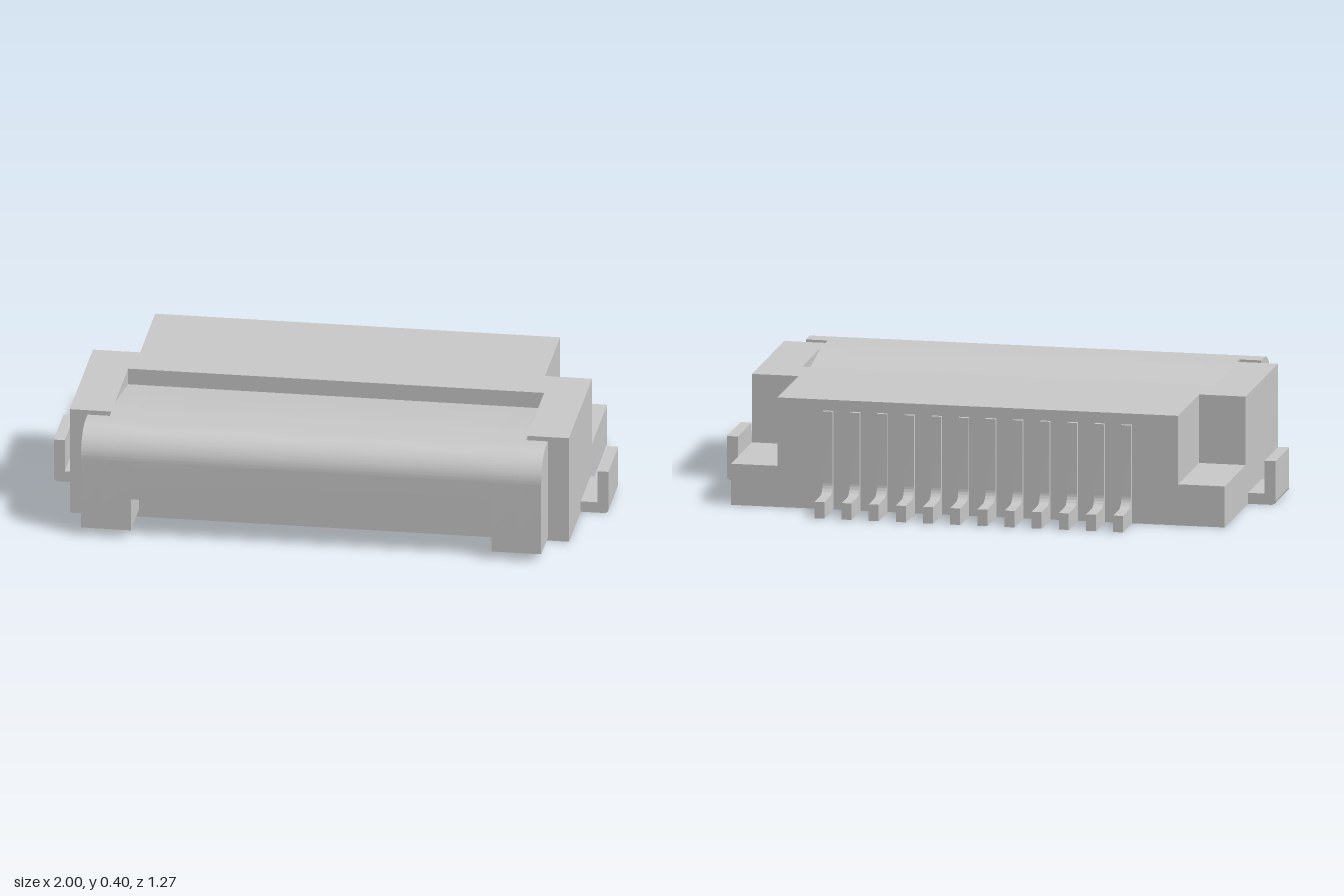
import * as THREE from 'three';
import { toCreasedNormals } from 'three/addons/utils/BufferGeometryUtils.js';

const material = new THREE.MeshStandardMaterial({ color: 0xcccccc });

// Extrudes a side profile drawn in (z, y) across the width from x0 to x1.
function slab(name, shape, x0, x1) {
  const geo = new THREE.ExtrudeGeometry(shape, { depth: x1 - x0, bevelEnabled: false, curveSegments: 14 });
  geo.rotateY(-Math.PI / 2).translate(x1, 0, 0);
  const mesh = new THREE.Mesh(toCreasedNormals(geo, 0.5), material);
  mesh.name = name;
  return mesh;
}

const polygon = (points) => new THREE.Shape(points.map(([a, b]) => new THREE.Vector2(a, b)));

// Side profile of the housing, with optional cable slot, top recess and rear corner notch.
function housingProfile({ slot, recess, notch }) {
  const p = [[-0.48, 0], [0.435, 0]];
  if (slot) p.push([0.435, 0.12], [-0.1, 0.12], [-0.1, 0.15], [0.435, 0.15]);
  p.push([0.435, 0.4]);
  if (recess) p.push([0.35, 0.4], [0.035, 0.34], [0.035, 0.4]);
  if (notch) p.push([-0.12, 0.4], [-0.12, 0.15], [-0.48, 0.15]);
  else p.push([-0.48, 0.4]);
  return polygon(p);
}

// Side profile of the latch with its rounded upper front edge.
function latchProfile(back, bottom) {
  const s = new THREE.Shape();
  s.moveTo(back, bottom);
  s.lineTo(0.635, bottom);
  s.lineTo(0.635, 0.295);
  s.absarc(0.53, 0.295, 0.105, 0, Math.PI / 2, false);
  s.lineTo(back, 0.4);
  s.closePath();
  return s;
}

// L-shaped contact: upright against the rear wall, fillet, then the solder foot.
function pinProfile() {
  const s = new THREE.Shape();
  s.moveTo(-0.635, 0);
  s.lineTo(-0.475, 0);
  s.lineTo(-0.475, 0.36);
  s.lineTo(-0.495, 0.36);
  s.lineTo(-0.495, 0.1);
  s.absarc(-0.535, 0.1, 0.04, 0, -Math.PI / 2, true);
  s.lineTo(-0.635, 0.06);
  s.closePath();
  return s;
}

// Mounting tab seen from the front, with a small outer bend radius.
function mountingTab() {
  const s = new THREE.Shape();
  s.moveTo(0.9, 0);
  s.lineTo(0.985, 0);
  s.absarc(0.985, 0.015, 0.015, -Math.PI / 2, 0, false);
  s.lineTo(1, 0.16);
  s.lineTo(0.96, 0.16);
  s.lineTo(0.96, 0.04);
  s.lineTo(0.9, 0.04);
  s.closePath();
  const geo = new THREE.ExtrudeGeometry(s, { depth: 0.235, bevelEnabled: false, curveSegments: 8 });
  geo.translate(0, 0, -0.08);
  return toCreasedNormals(geo, 0.5);
}

export function createModel() {
  const model = new THREE.Group();

  // Housing and latch middles
  const housing = new THREE.Group();
  housing.name = 'housing';
  housing.add(slab('housingMiddle', housingProfile({ slot: true, recess: true }), -0.65, 0.65));
  const latch = new THREE.Group();
  latch.name = 'latch';
  latch.add(slab('latchBar', latchProfile(0.435, 0.15), -0.65, 0.65));

  // Mirrored side sections
  const bothSides = (group, name, shape, a, b) => {
    group.add(slab(name + 'Left', shape, a, b), slab(name + 'Right', shape, -b, -a));
  };
  bothSides(housing, 'slotCheek', housingProfile({ recess: true }), 0.65, 0.73);
  bothSides(housing, 'recessEnd', housingProfile({ recess: true, notch: true }), 0.73, 0.75);
  bothSides(housing, 'housingEnd', housingProfile({ notch: true }), 0.75, 0.9);
  bothSides(latch, 'latchLeg', latchProfile(0.435, 0.03), 0.65, 0.75);
  bothSides(latch, 'latchTip', latchProfile(0.475, 0.03), 0.75, 0.83);

  // Row of twelve contacts
  const pins = new THREE.Group();
  pins.name = 'pins';
  const pin = pinProfile();
  for (let i = 0; i < 12; i++) {
    const x = (i - 5.5) * 0.099;
    pins.add(slab('pin' + (i + 1), pin, x - 0.018, x + 0.018));
  }

  // Mounting tabs on both sides
  const tabGeo = mountingTab();
  const leftTab = new THREE.Mesh(tabGeo, material);
  leftTab.name = 'mountingTabLeft';
  const rightTab = new THREE.Mesh(tabGeo, material);
  rightTab.name = 'mountingTabRight';
  rightTab.rotation.y = Math.PI;
  rightTab.position.z = 0.075;

  model.add(housing, latch, pins, leftTab, rightTab);
  return model;
}
